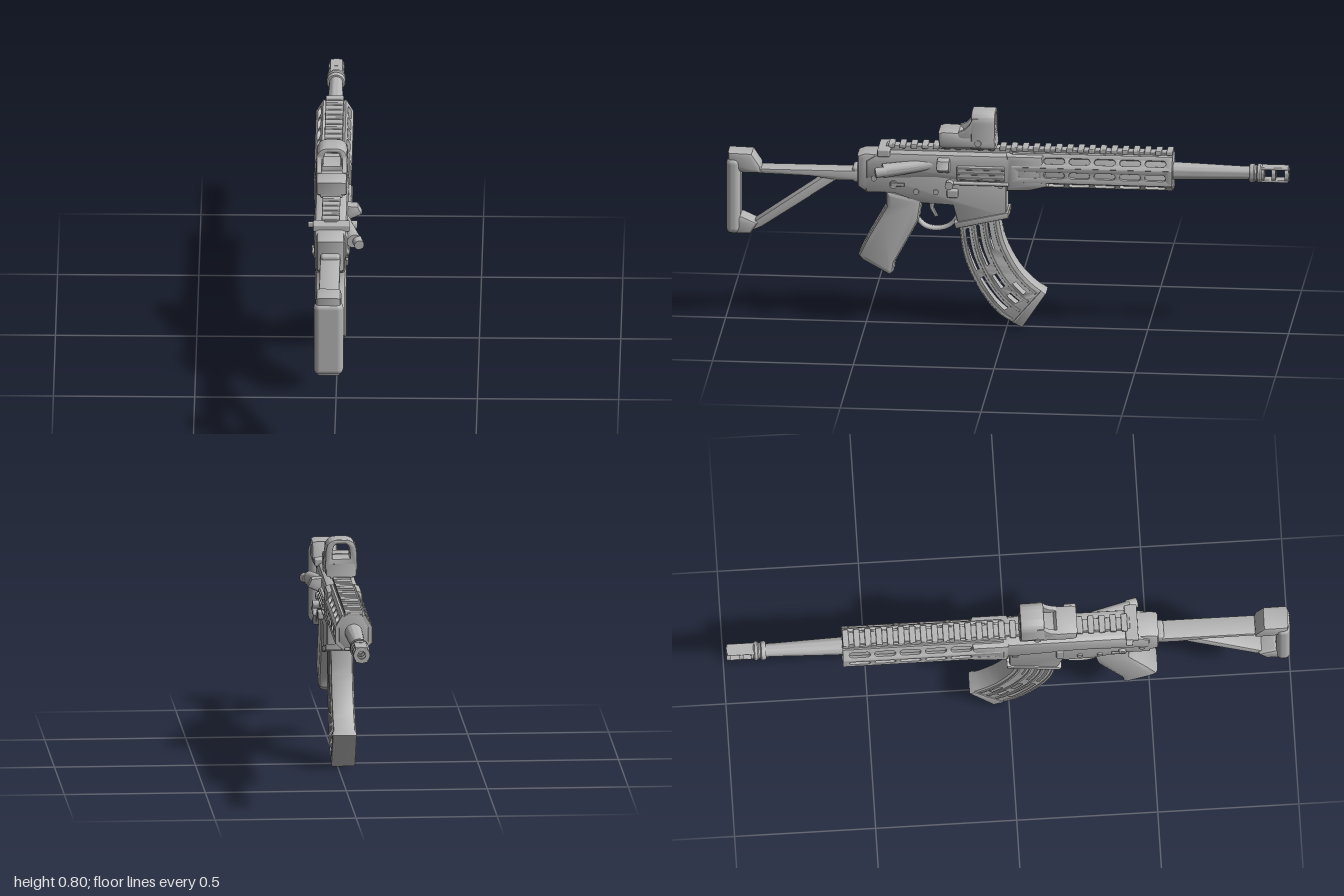
import * as THREE from 'three';
import { toCreasedNormals } from 'three/addons/utils/BufferGeometryUtils.js';
import { RoundedBoxGeometry } from 'three/addons/geometries/RoundedBoxGeometry.js';

export function createModel() {
  const root = new THREE.Group();
  root.name = 'rifle';
  const body = new THREE.Group();
  body.name = 'body';
  body.position.x = -0.02; // bore axis sits left of the bounding box centre
  root.add(body);
  const grey = new THREE.MeshStandardMaterial({ color: 0xb6b6b6 });
  grey.name = 'lightGrey';

  const add = (name, geo, x = 0, y = 0, z = 0, parent = body) => {
    const m = new THREE.Mesh(geo, grey);
    m.name = name;
    m.position.set(x, y, z);
    parent.add(m);
    return m;
  };
  const box = (name, w, h, d, x, y, z, r = 0.006) =>
    add(name, new RoundedBoxGeometry(w, h, d, 2, Math.min(r, w / 2.1, h / 2.1, d / 2.1)), x, y, z);
  const path = (pts, C = THREE.Shape) => new C(pts.map(p => new THREE.Vector2(p[0], p[1])));
  const extrude = (shape, depth, bevel) => {
    const g = new THREE.ExtrudeGeometry(shape, {
      depth: depth - 2 * bevel, bevelEnabled: bevel > 0, bevelSize: bevel, bevelOffset: -bevel,
      bevelThickness: bevel, bevelSegments: 2, curveSegments: 10 });
    g.translate(0, 0, bevel - depth / 2);
    return toCreasedNormals(g, 0.6);
  };
  // Outline given as [z, y], extruded across the width
  const profile = (name, pts, width, bevel = 0.008, holes = [], x = 0) => {
    const s = path(pts);
    s.holes = holes.map(h => path(h, THREE.Path));
    return add(name, extrude(s, width, bevel).rotateY(-Math.PI / 2), x);
  };
  // Lathe with [radius, distance forward]
  const turned = (name, pts, y, z) =>
    add(name, toCreasedNormals(new THREE.LatheGeometry(pts.map(p => new THREE.Vector2(...p)), 28), 0.6)
      .rotateX(-Math.PI / 2), 0, y, z);
  const knob = (name, r, len, x, y, z) =>
    add(name, toCreasedNormals(new THREE.CylinderGeometry(r, r, len, 18), 0.6).rotateZ(Math.PI / 2), x, y, z);

  // Receiver
  profile('lowerReceiver', [[0.5, 0.49], [0.5, 0.575], [0, 0.575], [0, 0.41], [0.17, 0.372], [0.19, 0.45],
    [0.3, 0.455], [0.4, 0.49]], 0.108, 0.01);
  profile('magazineWellLip', [[-0.008, 0.41], [-0.008, 0.432], [0.185, 0.388], [0.18, 0.366]], 0.118, 0.005);
  profile('upperReceiver', [[0.5, 0.54], [0.5, 0.61], [0.45, 0.642], [-0.03, 0.642], [-0.03, 0.53], [0.02, 0.525],
    [0.25, 0.55]], 0.118, 0.018);
  profile('rearPlate', [[0.53, 0.51], [0.53, 0.625], [0.505, 0.635], [0.43, 0.635], [0.43, 0.5], [0.5, 0.49]], 0.1, 0.014);
  box('ejectionCover', 0.012, 0.055, 0.17, 0.062, 0.575, 0.09);
  for (let i = 0; i < 3; i++) box('coverRib', 0.012, 0.007, 0.17, 0.067, 0.557 + i * 0.018, 0.09, 0.003);
  box('ejectionHinge', 0.018, 0.012, 0.2, 0.06, 0.537, 0.09);
  const wedge = path([[0.045, 0.57], [0.07, 0.578], [0.108, 0.597], [0.094, 0.626], [0.045, 0.63]]);
  add('brassDeflector', extrude(wedge, 0.045, 0.006), 0, 0, 0.222);

  // Forward assist: an angled tube with a button
  const assist = new THREE.Group();
  assist.name = 'forwardAssist';
  assist.position.set(0.075, 0.59, 0.36);
  assist.rotation.set(0.1, 0.24, 0);
  body.add(assist);
  const along = (r0, r1, l) => toCreasedNormals(new THREE.CylinderGeometry(r0, r1, l, 18), 0.6).rotateX(Math.PI / 2);
  add('assistTube', along(0.026, 0.018, 0.19), -0.01, 0, -0.02, assist);
  add('assistButton', along(0.018, 0.018, 0.04), 0.002, 0, 0.085, assist);

  // Charging handle
  box('chargingHandle', 0.132, 0.028, 0.045, 0.003, 0.642, 0.435);
  box('chargingLatch', 0.03, 0.014, 0.025, -0.066, 0.643, 0.425, 0.004);
  // Controls and pins
  for (const s of [-1, 1]) {
    knob('selectorPivot', 0.014, 0.014, s * 0.058, 0.525, 0.4);
    box('selectorLever', 0.008, 0.012, 0.05, s * 0.064, 0.527, 0.385, 0.003);
    for (const [z, y] of [[0.47, 0.545], [0.32, 0.5], [0.25, 0.5], [0.02, 0.53]])
      knob('pin', 0.01, 0.008, s * 0.056, y, z);
  }
  box('magazineRelease', 0.024, 0.03, 0.04, 0.062, 0.5, 0.19);
  knob('releaseButton', 0.015, 0.03, 0.076, 0.535, 0.2);
  box('boltCatch', 0.014, 0.07, 0.028, -0.057, 0.53, 0.18);

  // Trigger and guard
  const guard = new THREE.CatmullRomCurve3([[0.46, 0.172], [0.4, 0.178], [0.364, 0.205], [0.35, 0.25], [0.36, 0.295],
    [0.395, 0.322], [0.46, 0.325]].map(([y, z]) => new THREE.Vector3(0, y, z)));
  add('triggerGuard', new THREE.TubeGeometry(guard, 30, 0.008, 8).scale(2.6, 1, 1));
  profile('trigger', [[0.255, 0.47], [0.262, 0.425], [0.248, 0.395], [0.257, 0.392], [0.276, 0.425], [0.28, 0.47]], 0.02, 0.003);

  // Pistol grip
  profile('pistolGrip', [[0.43, 0.5], [0.428, 0.44], [0.45, 0.4], [0.49, 0.33], [0.527, 0.255], [0.51, 0.235],
    [0.415, 0.183], [0.402, 0.195], [0.398, 0.23], [0.335, 0.345], [0.312, 0.39], [0.3, 0.47]], 0.11, 0.018);

  // Curved magazine with open slots along its sides
  const curve = pts => new THREE.CatmullRomCurve3(pts.map(p => new THREE.Vector3(p[0], p[1], 0)));
  const rear = curve([[0.17, 0.42], [0.168, 0.36], [0.15, 0.25], [0.1, 0.14], [0.03, 0.05], [-0.055, 0]]);
  const front = curve([[0.03, 0.44], [0.025, 0.39], [0.008, 0.315], [-0.04, 0.22], [-0.095, 0.16], [-0.14, 0.128]]);
  const magAt = (t, u) => { // t down the length, u from rear edge to front edge
    const p = rear.getPoint(t).lerp(front.getPoint(t), u);
    return [p.x, p.y];
  };
  const strip = (t0, t1, u0, u1, n = 10) => {
    const a = [], b = [];
    for (let i = 0; i <= n; i++) {
      const t = t0 + (t1 - t0) * i / n;
      a.push(magAt(t, u0));
      b.unshift(magAt(t, u1));
    }
    return a.concat(b);
  };
  profile('magazine', strip(0, 1, 0, 1, 18), 0.076, 0.004, [
    strip(0.2, 0.5, 0.13, 0.26), strip(0.54, 0.82, 0.13, 0.27),
    strip(0.18, 0.5, 0.4, 0.52), strip(0.56, 0.68, 0.4, 0.55), strip(0.73, 0.84, 0.4, 0.55),
    strip(0.18, 0.42, 0.68, 0.76), strip(0.68, 0.82, 0.67, 0.8)]);
  for (const u of [0.03, 0.3, 0.58, 0.85]) profile('magazineRib', strip(0.12, 0.9, u, u + 0.06), 0.086, 0.003);
  profile('magazineFloor', strip(0.92, 1, 0, 1, 4), 0.086, 0.006);

  // Handguard: faceted core wrapped with slotted panels
  const half = [[0.03, 0.652], [0.052, 0.605], [0.052, 0.553], [0.028, 0.527]];
  const section = path([...half, ...half.map(([x, y]) => [-x, y]).reverse()]);
  add('handguardCore', extrude(section, 0.58, 0.003), 0, 0, -0.3);
  const panel = (h, count) => {
    const s = path([[-0.285, -h / 2], [0.285, -h / 2], [0.285, h / 2], [-0.285, h / 2]]);
    for (let i = 0; i < count; i++) {
      const c = -0.225 + i * 0.45 / (count - 1), l = 0.026, r = 0.011;
      const hole = new THREE.Path();
      hole.moveTo(c - l, -r).lineTo(c + l, -r).absarc(c + l, 0, r, -Math.PI / 2, Math.PI / 2, false);
      hole.lineTo(c - l, r).absarc(c - l, 0, r, Math.PI / 2, Math.PI * 1.5, false);
      s.holes.push(hole);
    }
    return extrude(s, 0.014, 0.002).rotateY(Math.PI / 2);
  };
  for (const s of [-1, 1]) {
    add('sidePanel', panel(0.06, 6), s * 0.059, 0.577, -0.305);
    add('upperPanel', panel(0.054, 6), s * 0.048, 0.624, -0.305).rotation.z = s * 0.52;
    add('lowerPanel', panel(0.036, 6), s * 0.046, 0.541, -0.305).rotation.z = -s * 0.8;
  }
  box('handguardFloor', 0.066, 0.012, 0.575, 0, 0.528, -0.305, 0.004);
  profile('handguardRear', [[0.0, 0.51], [0, 0.645], [-0.13, 0.645], [-0.15, 0.53], [-0.08, 0.512]], 0.13, 0.018);

  // Top rail
  box('railBase', 0.046, 0.02, 1.02, 0, 0.649, -0.08, 0.003);
  for (let i = 0; i < 26; i++) box('railTooth', 0.064, 0.016, 0.022, 0, 0.659, 0.41 - i * 0.0395, 0.004);

  // Barrel and ported muzzle
  turned('barrel', [[0, 0], [0.032, 0], [0.03, 0.08], [0.024, 0.26], [0.024, 0.3], [0.012, 0.3], [0.012, 0.25], [0, 0.25]], 0.587, -0.575);
  turned('muzzleCollar', [[0.02, 0], [0.03, 0], [0.034, 0.006], [0.034, 0.016], [0.029, 0.02], [0.029, 0.026],
    [0.034, 0.03], [0.034, 0.04], [0.028, 0.046], [0.012, 0.046]], 0.587, -0.86);
  for (const z of [-0.9, -0.94, -0.986])
    turned('muzzleRing', [[0.014, 0], [0.029, 0], [0.029, 0.014], [0.014, 0.014], [0.014, 0]], 0.587, z);
  for (const s of [-1, 1]) box('muzzleBar', 0.044, 0.01, 0.1, 0, 0.587 + s * 0.023, -0.948, 0.004);

  // Holographic sight
  box('sightMount', 0.082, 0.03, 0.2, 0, 0.672, 0.14);
  profile('sightBase', [[0.24, 0.672], [0.242, 0.718], [0.225, 0.724], [0.17, 0.722], [0.16, 0.71], [0.04, 0.71],
    [0.036, 0.665], [0.225, 0.662]], 0.11, 0.01);
  const hood = new THREE.Shape();
  hood.moveTo(-0.058, 0.69).lineTo(0.058, 0.69).lineTo(0.055, 0.755).quadraticCurveTo(0.052, 0.797, 0.016, 0.797);
  hood.lineTo(-0.016, 0.797).quadraticCurveTo(-0.052, 0.797, -0.055, 0.755);
  const glass = new THREE.Path();
  glass.moveTo(-0.031, 0.729).lineTo(0.031, 0.729).lineTo(0.03, 0.757).quadraticCurveTo(0.026, 0.781, 0.013, 0.781);
  glass.lineTo(-0.013, 0.781).quadraticCurveTo(-0.026, 0.781, -0.03, 0.757);
  hood.holes.push(glass);
  add('sightHood', extrude(hood, 0.085, 0.006), 0, 0, 0.083);
  for (const s of [-1, 1]) {
    profile('sightWing', [[0.12, 0.775], [0.132, 0.75], [0.148, 0.733], [0.172, 0.724], [0.172, 0.7], [0.1, 0.7],
      [0.1, 0.775]], 0.018, 0.003, [], s * 0.045);
    knob('sightScrew', 0.012, 0.012, s * 0.055, 0.685, 0.1);
  }

  // Skeleton stock
  box('buttPad', 0.105, 0.28, 0.05, 0, 0.46, 0.972, 0.022);
  profile('buttTop', [[0.99, 0.57], [0.99, 0.622], [0.905, 0.62], [0.875, 0.575], [0.87, 0.545], [0.94, 0.545]], 0.09, 0.014);
  profile('buttBottom', [[0.99, 0.32], [0.91, 0.32], [0.885, 0.36], [0.94, 0.385], [0.99, 0.38]], 0.085, 0.01);
  profile('stockTopBar', [[0.9, 0.562], [0.5, 0.564], [0.5, 0.53], [0.6, 0.527], [0.7, 0.54], [0.9, 0.545]], 0.072, 0.005);
  profile('stockStrut', [[0.915, 0.325], [0.87, 0.345], [0.6, 0.53], [0.655, 0.535], [0.9, 0.362]], 0.06, 0.006);
  box('stockHinge', 0.07, 0.06, 0.05, 0, 0.55, 0.525, 0.012);
  return root;
}
